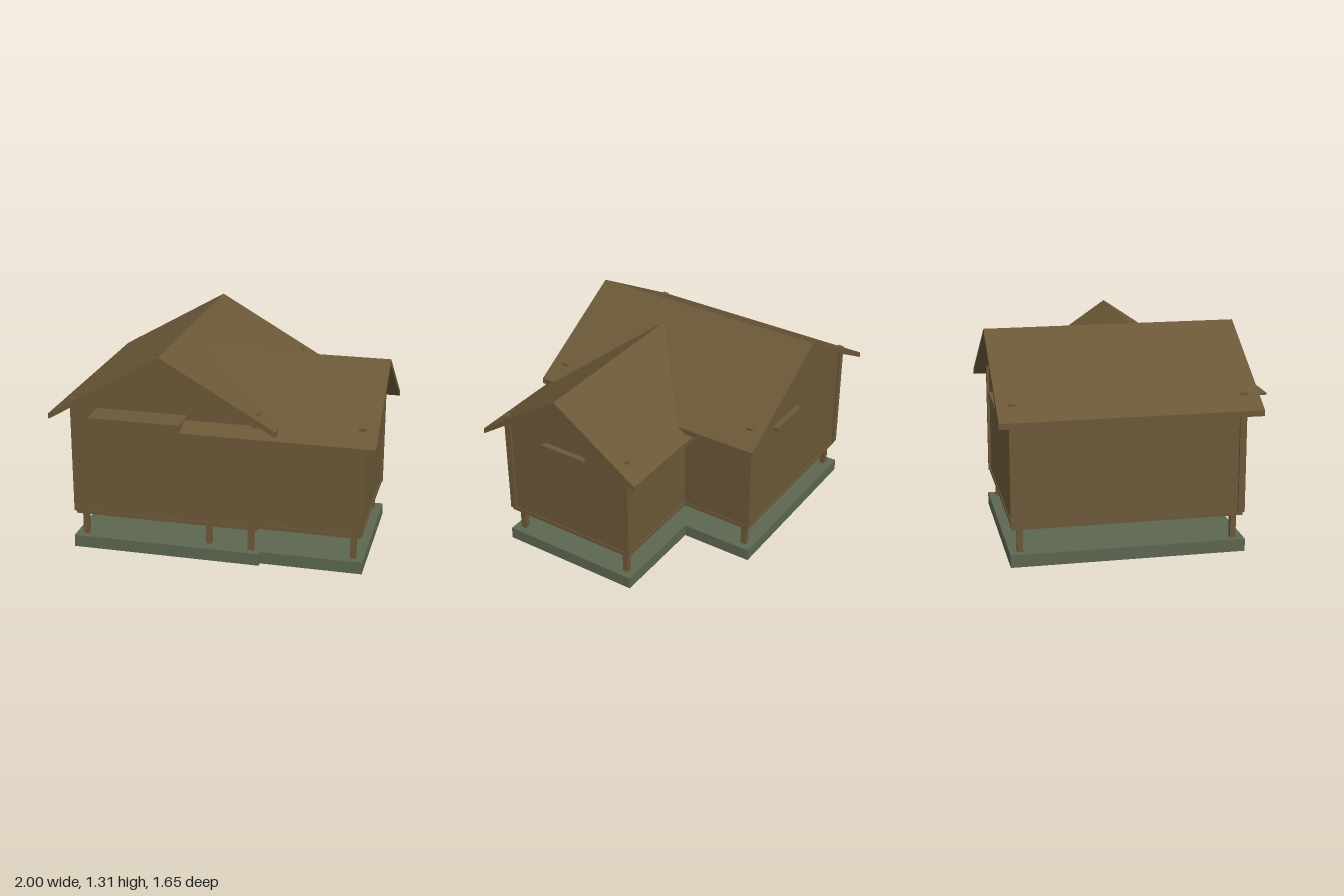
import * as THREE from 'three';

const brown = new THREE.MeshStandardMaterial({ color: 0x6b5838 });
brown.name = 'weathered wood';
const green = new THREE.MeshStandardMaterial({ color: 0x5c6650, side: THREE.DoubleSide });
green.name = 'mossy stone';

function add(parent, name, geometry, material = brown) {
  const mesh = new THREE.Mesh(geometry, material);
  mesh.name = name;
  parent.add(mesh);
  return mesh;
}

// Box given by its lower and upper corners
function box(parent, name, [x0, y0, z0], [x1, y1, z1], material) {
  const g = new THREE.BoxGeometry(x1 - x0, y1 - y0, z1 - z0);
  g.translate((x0 + x1) / 2, (y0 + y1) / 2, (z0 + z1) / 2);
  return add(parent, name, g, material);
}

// Profile in x and y, extruded along z and centred
function prism(parent, name, points, length) {
  const shape = new THREE.Shape(points.map(([x, y]) => new THREE.Vector2(x, y)));
  const g = new THREE.ExtrudeGeometry(shape, { depth: length, bevelEnabled: false });
  g.translate(0, 0, -length / 2);
  return add(parent, name, g);
}

// One gabled block on stilts, ridge along z; w and l are half sizes of the walls
function gabledBlock(name, { w, l, ridge, eave, roofW, roofL, postTop }) {
  const block = new THREE.Group();
  block.name = name;
  const slope = (ridge - eave) / roofW, thick = 0.035;

  // Shallow footing, hollow underneath
  const footing = box(block, 'footing', [-w - 0.02, 0, -l - 0.02], [w + 0.02, 0.077, l + 0.02], green);
  const index = Array.from(footing.geometry.index.array);
  index.splice(18, 6);
  footing.geometry.setIndex(index);
  footing.geometry.clearGroups();

  // Floor and walls
  box(block, 'floorBand', [-w - 0.005, 0.225, -l - 0.005], [w + 0.005, 0.25, l + 0.005]);
  const under = ridge - thick;
  prism(block, 'walls', [[-w, 0.245], [w, 0.245], [w, under - w * slope],
    [0, under], [-w, under - w * slope]], 2 * l);

  // Roof with vertical eave edges
  prism(block, 'roof', [[-roofW, eave - thick], [0, under], [roofW, eave - thick],
    [roofW, eave], [0, ridge], [-roofW, eave]], 2 * roofL);

  // Stilts and corner posts
  for (const sx of [-1, 1]) for (const sz of [-1, 1]) {
    const stilt = add(block, 'stilt', new THREE.BoxGeometry(0.035, 0.23, 0.035));
    stilt.position.set(sx * (w - 0.043), 0.115, sz * (l - 0.043));
    const post = add(block, 'cornerPost', new THREE.BoxGeometry(0.04, postTop - 0.245, 0.04));
    post.position.set(sx * (w - 0.005), (postTop + 0.245) / 2, sz * (l - 0.005));
  }
  return block;
}

export function createModel() {
  const house = new THREE.Group();
  house.name = 'house';

  const main = gabledBlock('mainBlock', {
    w: 0.575, l: 0.69, ridge: 1.307, eave: 0.903, roofW: 0.705, roofL: 0.775, postTop: 0.983,
  });
  main.position.set(-0.295, 0, -0.05);
  house.add(main);

  const wing = gabledBlock('sideWing', {
    w: 0.44, l: 0.495, ridge: 1.225, eave: 0.845, roofW: 0.557, roofL: 0.585, postTop: 0.932,
  });
  wing.rotation.y = Math.PI / 2;
  wing.position.set(0.415, 0, 0.166);
  house.add(wing);

  // Door with lintel and canopy
  box(house, 'door', [-0.565, 0.265, 0.638], [-0.295, 0.873, 0.648]);
  box(house, 'lintel', [-0.615, 0.883, 0.63], [-0.25, 0.921, 0.67]);
  box(house, 'canopy', [-0.715, 0.921, 0.63], [-0.145, 0.933, 0.825]);

  // Slender bars on the outer gables
  box(house, 'wingGableBar', [0.9, 0.81, 0.02], [0.945, 0.84, 0.32]);
  box(house, 'backGableBar', [-0.29, 0.81, -0.775], [0.01, 0.84, -0.73]);

  return house;
}
